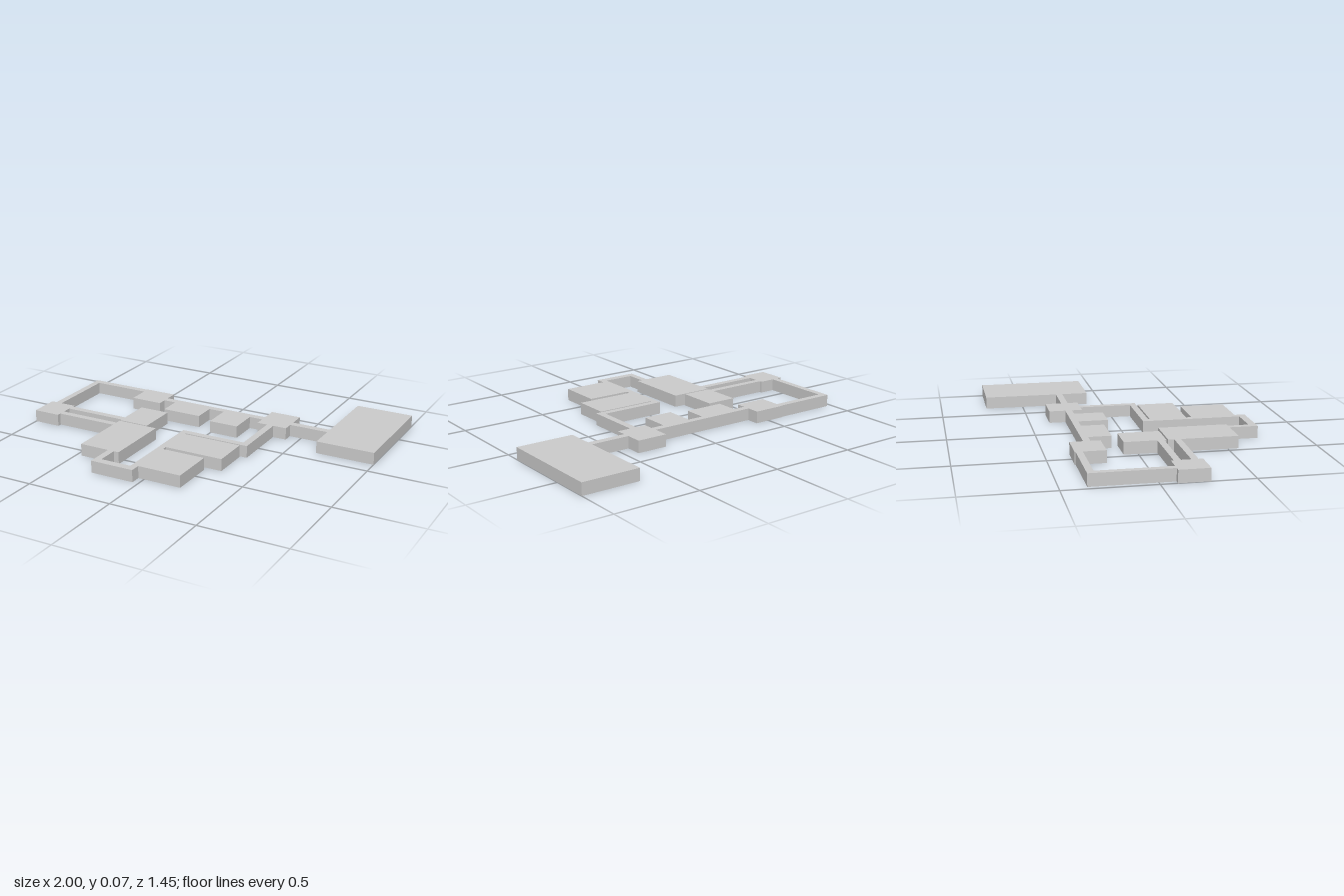
import * as THREE from 'three';

const HEIGHT = 0.07;

// Footprints as [name, x0, x1, z0, z1]
const ROOMS = [
  ['greatHall', 0.66, 1.0, -0.725, -0.095],
  ['eastJunction', 0.25, 0.43, -0.385, -0.19],
  ['northWestJunction', -0.6, -0.41, -0.365, -0.195],
  ['westJunction', -1.0, -0.84, 0.09, 0.26],
  ['northRoomA', -0.335, -0.1, -0.252, -0.12],
  ['northRoomB', -0.005, 0.17, -0.252, -0.08],
  ['middleRoom', -0.47, -0.29, -0.08, 0.155],
  ['longRoom', -0.47, -0.225, 0.165, 0.56],
  ['southRoomA', -0.035, 0.31, 0.16, 0.375],
  ['southRoomB', -0.035, 0.22, 0.405, 0.665],
];

const CORRIDORS = [
  ['greatHallCorridor', 0.43, 0.66, -0.29, -0.25],
  ['northCorridorEast', 0.17, 0.25, -0.29, -0.25],
  ['northCorridor', -0.27, 0.17, -0.29, -0.252],
  ['northCorridorWest', -0.41, -0.27, -0.29, -0.25],
  ['northWestCorridor', -0.97, -0.6, -0.36, -0.322],
  ['westCorridor', -0.97, -0.933, -0.322, 0.09],
  ['middleRoomCorridor', -0.84, -0.47, 0.105, 0.143],
  ['longRoomCorridor', -0.84, -0.47, 0.198, 0.236],
  ['southWestCorridor', -0.293, -0.255, 0.56, 0.725],
  ['southCorridor', -0.255, -0.073, 0.682, 0.725],
  ['centralCorridor', -0.073, -0.035, 0.112, 0.725],
  ['crossCorridor', -0.035, 0.31, 0.112, 0.15],
  ['eastCorridor', 0.31, 0.35, -0.19, 0.15],
];

export function createModel() {
  const model = new THREE.Group();
  model.name = 'floorLayout';
  const material = new THREE.MeshStandardMaterial({ color: 0xcccccc, flatShading: true });

  // One slab per footprint, all standing on the ground
  const addGroup = (groupName, footprints) => {
    const group = new THREE.Group();
    group.name = groupName;
    for (const [name, x0, x1, z0, z1] of footprints) {
      const slab = new THREE.Mesh(new THREE.BoxGeometry(x1 - x0, HEIGHT, z1 - z0), material);
      slab.name = name;
      slab.position.set((x0 + x1) / 2, HEIGHT / 2, (z0 + z1) / 2);
      group.add(slab);
    }
    model.add(group);
  };

  addGroup('rooms', ROOMS);
  addGroup('corridors', CORRIDORS);
  return model;
}
